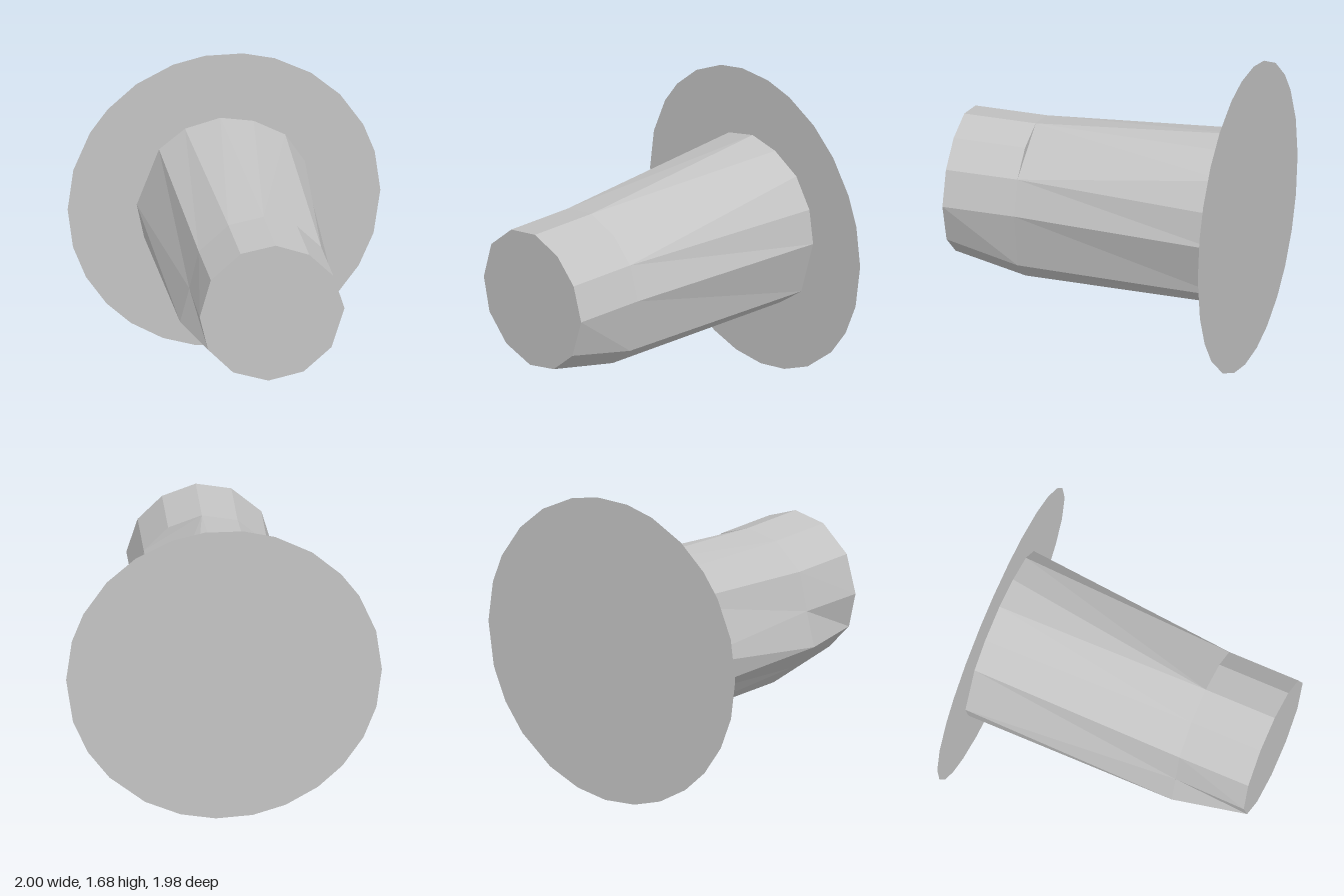
import * as THREE from 'three';

// Cross-sections as [across, height], clockwise seen from the front end
const BASE = [[-0.47, 0.85], [-0.35, 1.16], [-0.21, 1.27], [-0.02, 1.32], [0.16, 1.29], [0.33, 1.2], [0.435, 1.04],
  [0.465, 0.85], [0.37, 0.54], [0.205, 0.42], [0.03, 0.38], [-0.15, 0.41], [-0.32, 0.5], [-0.43, 0.66]];
const NECK = [[-0.38, 0.85], [-0.33, 1.06], [-0.17, 1.2], [0.02, 1.235], [0.2, 1.17], [0.33, 1.04],
  [0.39, 0.85], [0.33, 0.54], [0.19, 0.42], [0.04, 0.38], [-0.155, 0.41], [-0.43, 0.66]];
const TIP = [[-0.39, 0.85], [-0.33, 1.06], [-0.17, 1.2], [0.02, 1.235], [0.2, 1.17], [0.33, 1.04],
  [0.39, 0.85], [0.32, 0.63], [0.17, 0.5], [-0.02, 0.46], [-0.21, 0.52], [-0.345, 0.66]];
const NECK_Z = 1.18, TIP_Z = 1.58;

// Vertex angles of the flange, in degrees from its lowest point
const FLANGE_RIGHT = [3, 16, 30, 46.5, 59.5, 73, 90, 105.5, 117, 132, 146, 161, 173];
const FLANGE_LEFT = [10.5, 23, 36.5, 48.7, 62, 75, 90, 105.5, 121, 132, 146, 161, 173];

function fromTriangles(points) {
  const geometry = new THREE.BufferGeometry().setFromPoints(points);
  geometry.computeVertexNormals();
  return geometry;
}

const lift = (ring, z) => ring.map(([x, y]) => new THREE.Vector3(x, y, z));

// Skin between two rings with equal numbers of points
function skin(a, b) {
  const points = [];
  for (let i = 0; i < a.length; i++) {
    const j = (i + 1) % a.length;
    points.push(a[i], b[i], a[j], a[j], b[i], b[j]);
  }
  return fromTriangles(points);
}

function cap(ring) {
  const points = [];
  for (let i = 1; i < ring.length - 1; i++) points.push(ring[0], ring[i + 1], ring[i]);
  return fromTriangles(points);
}

export function createModel() {
  const grey = new THREE.MeshStandardMaterial({ color: 0xc4c4c4, flatShading: true, side: THREE.DoubleSide });
  grey.name = 'plain grey';
  const group = new THREE.Group();
  group.name = 'flangedPeg';
  const add = (name, geometry) => {
    const mesh = new THREE.Mesh(geometry, grey);
    mesh.name = name;
    group.add(mesh);
  };

  // Thin round flange at the back
  const angles = [...FLANGE_RIGHT, ...FLANGE_LEFT.map((d) => -d).reverse()];
  const rim = angles.map((d) => {
    const t = THREE.MathUtils.degToRad(d);
    return new THREE.Vector2(0.842 * Math.sin(t), 0.847 - 0.842 * Math.cos(t));
  });
  add('flange', new THREE.ShapeGeometry(new THREE.Shape(rim)));

  // Tapered barrel, narrowing to the neck and skipping one neck corner
  const neck = lift(NECK, NECK_Z);
  const taperEnd = [0, 1, 2, 3, 3, 5, 5, 6, 7, 8, 9, 10, 10, 11].map((i) => neck[i].clone());
  taperEnd[12].lerp(neck[11], 0.4);
  add('barrel', skin(lift(BASE, 0), taperEnd));

  // Small step where the sleeve stands above the barrel
  add('step', fromTriangles([neck[3], neck[4], neck[5]]));

  // Front sleeve and its flat end
  const tip = lift(TIP, TIP_Z);
  add('sleeve', skin(neck, tip));
  add('endFace', cap(tip));

  // Turn the axis towards the front left
  group.rotation.y = Math.atan2(0.733, 0.68);
  group.position.set(-0.43, 0, -0.37);
  const model = new THREE.Group();
  model.name = 'model';
  model.add(group);
  return model;
}
